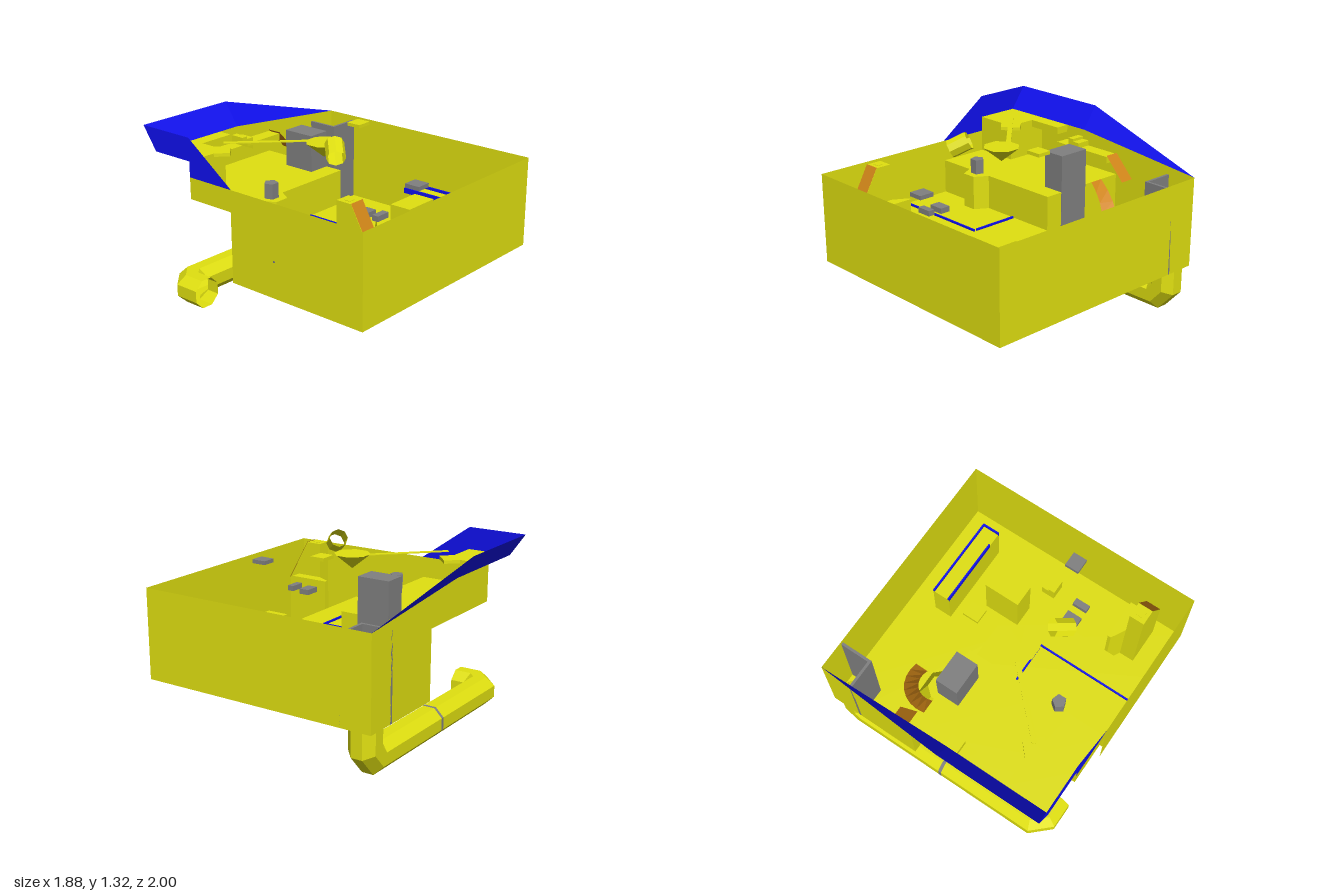
import * as THREE from 'three';

const mat = (color) => new THREE.MeshStandardMaterial({ color, flatShading: true, side: THREE.DoubleSide });

export function createModel() {
  const root = new THREE.Group();
  const yellow = mat(0xe0e010), blue = mat(0x1010f0), orange = mat(0xd08518), grey = mat(0x808080);
  const L = -0.94, R = 0.94, B = -0.88, F = 1;
  const floorY = 0.34, midY = 0.6, deckY = 0.86, rimY = 1.02, topY = 1.135;

  const add = (name, geometry, material = yellow) => {
    const mesh = new THREE.Mesh(geometry, material);
    mesh.name = name;
    root.add(mesh);
    return mesh;
  };
  // Box given by its limits on each axis
  const box = (name, [x0, x1], [y0, y1], [z0, z1], material) =>
    add(name, new THREE.BoxGeometry(x1 - x0, y1 - y0, z1 - z0), material)
      .position.set((x0 + x1) / 2, (y0 + y1) / 2, (z0 + z1) / 2);
  const outline = (pts) => new THREE.Shape(pts.map(([x, z]) => new THREE.Vector2(x, -z)));
  // Horizontal sheet from an x,z outline
  const sheet = (name, shape, y) => add(name, new THREE.ShapeGeometry(shape).rotateX(-Math.PI / 2).translate(0, y, 0));
  // Solid from an x,z outline
  const block = (name, pts, y0, y1, material) =>
    add(name, new THREE.ExtrudeGeometry(outline(pts), { depth: y1 - y0, bevelEnabled: false })
      .rotateX(-Math.PI / 2).translate(0, y0, 0), material);
  // Grid surface through equal rows of points
  const loft = (name, rows, material) => {
    const n = rows[0].length, index = [];
    for (let i = 0; i < rows.length - 1; i++)
      for (let j = 0; j < n - 1; j++) {
        const a = i * n + j, b = a + n;
        index.push(a, b, a + 1, a + 1, b, b + 1);
      }
    const g = new THREE.BufferGeometry();
    g.setAttribute('position', new THREE.Float32BufferAttribute(rows.flat(2), 3));
    g.setIndex(index);
    g.computeVertexNormals();
    return add(name, g, material);
  };
  // Vertical sheet along an x,z path
  const wall = (name, pts, y0, y1, material) =>
    loft(name, [pts.map(([x, z]) => [x, y0, z]), pts.map(([x, z]) => [x, y1, z])], material);
  // Polygon fanned from its first corner
  const fan = (name, pts, material) => {
    const g = new THREE.BufferGeometry();
    g.setAttribute('position', new THREE.Float32BufferAttribute(pts.flat(), 3));
    g.setIndex(pts.slice(2).flatMap((_, i) => [0, i + 1, i + 2]));
    g.computeVertexNormals();
    return add(name, g, material);
  };

  // Floor with the pipe opening, and the stepped decks
  const floor = outline([[L, F], [R, F], [R, B], [0.2, B], [0.2, 0.2], [-0.2, 0.48], [L, 0.48]]);
  const pipeX = 0.825, pipeZ = -0.765, pipeR = 0.107 / Math.cos(Math.PI / 8);
  const hole = new THREE.Path();
  for (let i = 0; i < 8; i++) {
    const a = (i + 0.5) * Math.PI / 4;
    hole[i ? 'lineTo' : 'moveTo'](pipeX + pipeR * Math.cos(a), -pipeZ + pipeR * Math.sin(a));
  }
  floor.holes.push(hole);
  sheet('floor', floor, floorY);
  sheet('middleDeck', outline([[L, 0.48], [-0.2, 0.48], [0.2, 0.2], [0.2, -0.15], [L, -0.15]]), midY);
  const deckEdge = [[L, -0.15], [-0.65, -0.15], [-0.6, -0.05], [-0.49, -0.05], [-0.43, -0.15], [0.2, -0.15]];
  sheet('upperDeck', outline([...deckEdge, [0.2, B], [-0.6, B], [-0.6, -0.54], [L, -0.54]]), deckY);
  sheet('topDeck', outline([[L, -0.54], [-0.6, -0.54], [-0.6, B], [L, B]]), topY);

  // Outer walls and deck risers
  wall('outerWall', [[L, -0.15], [L, F], [R, F], [R, B]], floorY, rimY);
  wall('sideWallUpper', [[L, -0.15], [L, -0.54]], deckY, rimY);
  wall('middleRiser', [[L, 0.48], [-0.2, 0.48], [0.2, 0.2]], floorY, midY);
  wall('sideRiser', [[0.2, 0.2], [0.2, -0.15]], floorY, midY);
  wall('upperSideRiser', [[0.2, -0.15], [0.2, B]], floorY, deckY);
  wall('upperRiser', deckEdge, midY, deckY);
  wall('topRiser', [[L, -0.54], [-0.6, -0.54], [-0.6, B]], deckY, topY);
  const back = new THREE.Shape([[R, floorY], [R, rimY], [-0.14, topY], [-0.6, topY], [-0.6, deckY], [0.2, deckY], [0.2, floorY]]
    .map(([x, y]) => new THREE.Vector2(x, y)));
  add('backWall', new THREE.ShapeGeometry(back).translate(0, 0, B));

  // Flared blue rim
  fan('backRim', [[-0.14, 1.305, -1], [L, 1.305, -1], [L, topY, B], [-0.14, topY, B], [R, rimY, B]], blue);
  fan('sideRim', [[L, 1.305, -0.54], [L, 1.305, -1], [L, topY, B], [L, topY, -0.54], [L, rimY, -0.54], [L, rimY, -0.14]], blue);

  // Ledges along the back wall
  block('cornerLedge', [[-0.71, -0.54], [-0.63, -0.46], [-0.52, -0.56], [-0.6, -0.65]], 1.11, topY);
  box('backShelf', [-0.6, -0.32], [1.08, topY], [B, -0.77]);
  box('lowStep', [-0.32, -0.2], [0.97, 1.02], [B, -0.77]);
  box('highStep', [-0.2, -0.15], [1.03, 1.08], [B, -0.77]);
  box('middleStep', [-0.15, -0.09], [1.0, 1.06], [B, -0.77]);
  box('longShelf', [-0.09, 0.2], [0.97, 1.02], [B, -0.77]);
  loft('shelfRamp', [[[0.2, 1.03, B], [0.2, 1.03, -0.77]], [[0.36, deckY, B], [0.36, deckY, -0.77]]], orange);

  // Curved ramp from the upper deck to the floor
  const ramp = [];
  for (let i = 0; i <= 8; i++) {
    const a = (i / 8) * Math.PI / 2, y = deckY + (floorY - deckY) * i / 8;
    ramp.push([0.29, 0.395].map((r) => [0.2 + r * Math.sin(a), y, -0.32 - r * Math.cos(a)]));
  }
  loft('curvedRamp', ramp, orange);

  // Half dome and pier at the deck side
  const ring = (x1, x2, z0, z1, c, y) => [[0.2, y, z0], [x1, y, z0], [x2, y, z0 + c], [x2, y, z1 - c], [x1, y, z1], [0.2, y, z1]];
  const crown = ring(0.3, 0.37, -0.52, -0.32, 0.06, 0.55);
  loft('halfDome', [ring(0.37, 0.45, -0.6, -0.23, 0.08, floorY), crown]);
  fan('halfDomeTop', crown);
  box('pier', [0.03, 0.203], [floorY, topY], [-0.54, -0.29], grey);

  // Parasol with its arm, and the post beneath
  add('parasol', new THREE.ConeGeometry(0.135, 0.11, 8).rotateX(Math.PI).rotateY(Math.PI / 8)).position.set(-0.14, 1.135, -0.015);
  const arm = add('parasolArm', new THREE.BoxGeometry(0.6, 0.006, 0.035));
  arm.position.set(-0.395, 1.187, -0.335);
  arm.rotation.y = -Math.PI / 4;
  add('post', new THREE.CylinderGeometry(0.052, 0.052, 0.11, 5).rotateY(Math.PI)).position.set(-0.55, 0.915, -0.145);

  root.getObjectByName('post').material = grey;

  // Floating tube
  const tube = add('floatingTube', new THREE.CylinderGeometry(0.068, 0.068, 0.15, 8, 1, true));
  tube.position.set(-0.31, 1.22, 0.235);
  tube.quaternion.setFromUnitVectors(new THREE.Vector3(0, 1, 0), new THREE.Vector3(0.62, 0.45, -0.64).normalize());

  // Floating slabs
  box('floatingSlab', [0.18, 0.3], [1.225, 1.25], [-0.07, 0.04]);
  box('greySlabFront', [-0.145, -0.035], [1.02, 1.05], [0.71, 0.825], grey);
  box('greySlabMiddle', [-0.32, -0.205], [0.8, 0.84], [0.57, 0.62], grey);
  box('greySlabBack', [-0.32, -0.205], [0.79, 0.83], [0.43, 0.51], grey);

  // Blue strips on the middle deck
  box('deckStrip', [L, -0.15], [midY, 0.615], [0.24, 0.252], blue);
  box('deckStripTurn', [-0.158, -0.146], [midY, 0.615], [-0.14, 0.225], blue);

  // Tower with a sloping front
  const side = new THREE.Shape([[0.62, floorY], [0.62, 1.08], [0.74, 1.08], [0.91, 0.77], [0.91, floorY]]
    .map(([z, y]) => new THREE.Vector2(-z, y)));
  add('tower', new THREE.ExtrudeGeometry(side, { depth: 0.115, bevelEnabled: false }).rotateY(Math.PI / 2).translate(-0.745, 0, 0));
  loft('towerSlope', [[[-0.745, 1.083, 0.74], [-0.63, 1.083, 0.74]], [[-0.745, 0.773, 0.913], [-0.63, 0.773, 0.913]]], orange);
  box('towerHatch', [-0.715, -0.665], [1.075, 1.083], [0.655, 0.705]);
  block('towerStep', [[-0.63, 0.62], [-0.57, 0.51], [-0.545, 0.51], [-0.545, 0.825], [-0.63, 0.825]], floorY, 0.81);

  // Low blocks on the floor
  box('floorBlock', [0.14, 0.425], [floorY, 0.735], [0.37, 0.54]);
  box('smallBlockWide', [0.03, 0.14], [floorY, 0.42], [0.71, 0.765]);
  box('smallBlockDeep', [0.03, 0.08], [floorY, 0.45], [0.71, 0.825]);

  // Railed counter
  box('counter', [0.6, 0.74], [floorY, 0.66], [0.14, 0.8]);
  box('counterRailLeft', [0.728, 0.741], [0.64, 0.68], [0.14, 0.8], blue);
  box('counterRailRight', [0.599, 0.611], [0.64, 0.68], [0.14, 0.68], blue);
  box('counterRailFront', [0.6, 0.74], [0.64, 0.68], [0.788, 0.801], blue);

  // Grey screen around the pipe mouth
  box('screenSide', [0.69, 0.71], [floorY, 0.985], [B, -0.64], grey);
  box('screenFront', [0.69, R], [floorY, 0.985], [-0.66, -0.64], grey);

  // Open octagonal pipe, bent twice with mitred rings
  const path = [[pipeX, floorY, pipeZ], [pipeX, 0.19, pipeZ], [0.75, 0.107, pipeZ],
    [-0.75, 0.107, pipeZ], [-0.83, 0.107, -0.69], [-0.83, 0.107, -0.54]].map((p) => new THREE.Vector3(...p));
  const up = new THREE.Vector3(0, 1, 0), front = new THREE.Vector3(0, 0, 1);
  const rings = path.map((p, i) => {
    const next = path[Math.min(i + 1, 5)].clone().sub(path[Math.min(i, 4)]).normalize();
    const prev = path[Math.max(i, 1)].clone().sub(path[Math.max(i - 1, 0)]).normalize();
    const t = next.clone().add(prev).normalize(), stretch = 1 / t.dot(prev);
    const u = i < 3 ? t.clone().cross(front).multiplyScalar(stretch) : up;
    const v = i < 3 ? front : up.clone().cross(t).multiplyScalar(stretch);
    return Array.from({ length: 9 }, (_, k) => {
      const a = (k + 0.5) * Math.PI / 4;
      return p.clone().addScaledVector(u, pipeR * Math.cos(a)).addScaledVector(v, pipeR * Math.sin(a)).toArray();
    });
  });
  loft('pipe', rings);
  add('pipeBand', new THREE.CylinderGeometry(pipeR + 0.001, pipeR + 0.001, 0.025, 8, 1, true)
    .rotateY(Math.PI / 8).rotateZ(Math.PI / 2), grey).position.set(0, 0.107, pipeZ);

  return root;
}
